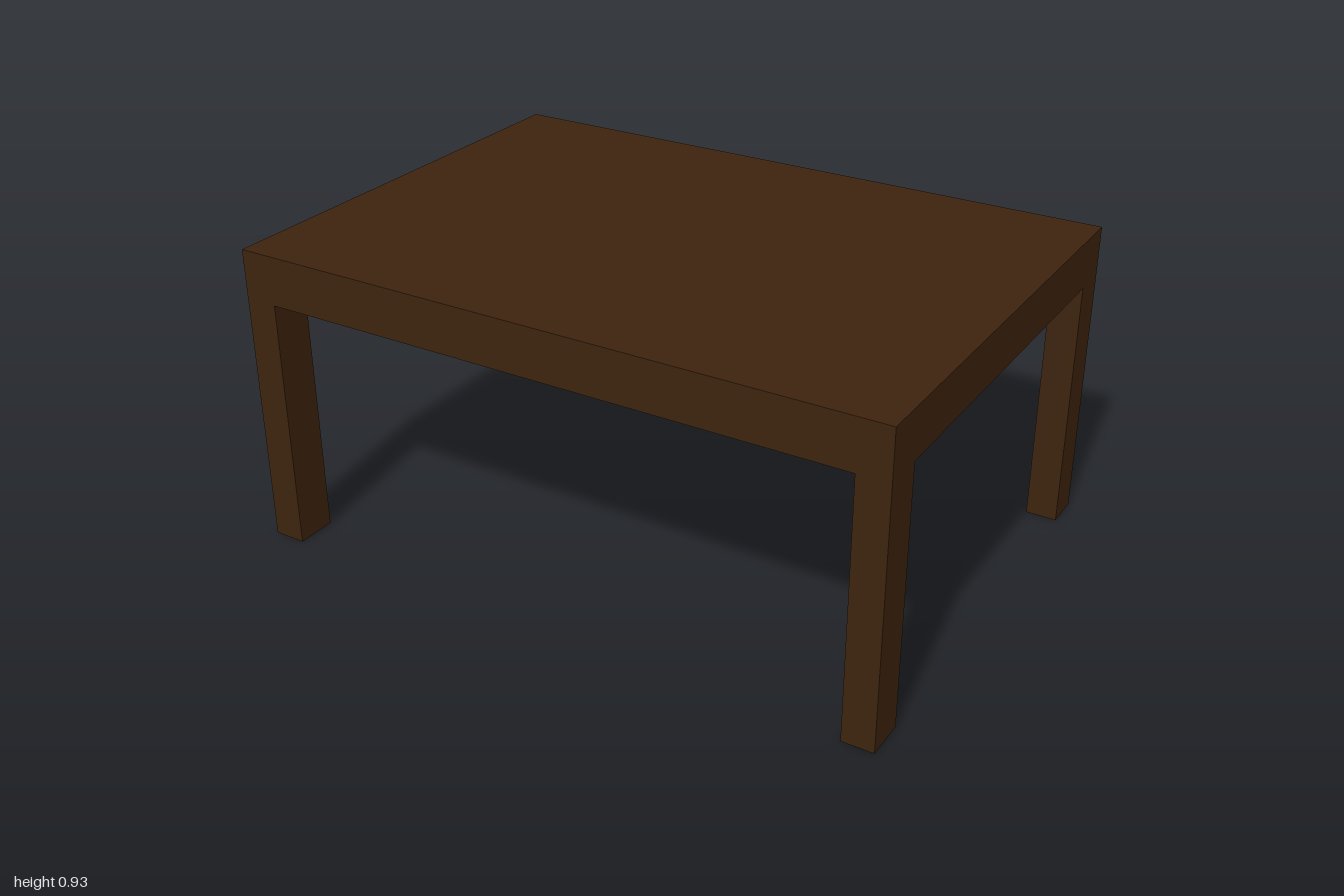
import * as THREE from 'three';

export function createModel() {
  const model = new THREE.Group();
  const wood = new THREE.MeshStandardMaterial({ color: 0x3d230e });
  wood.name = 'dark brown wood';

  const W = 1, D = 0.705;                       // half width and half depth
  const legTop = 0.78, recess = 0.83, top = 0.93;
  // inner faces of the legs and apron on each side
  const inner = { left: 0.905, right: -0.9, front: 0.58, back: -0.59 };

  // box between two opposite corners
  function block(name, x0, x1, y0, y1, z0, z1) {
    const mesh = new THREE.Mesh(new THREE.BoxGeometry(x1 - x0, y1 - y0, z1 - z0), wood);
    mesh.position.set((x0 + x1) / 2, (y0 + y1) / 2, (z0 + z1) / 2);
    mesh.name = name;
    model.add(mesh);
  }

  block('tabletop', -W, W, recess, top, -D, D);

  // apron rails framing the shallow recess under the top
  block('frontApron', -W, W, legTop, recess, inner.front, D);
  block('backApron', -W, W, legTop, recess, -D, inner.back);
  block('leftApron', inner.left, W, legTop, recess, inner.back, inner.front);
  block('rightApron', -W, inner.right, legTop, recess, inner.back, inner.front);

  // four corner legs, flush with the outer faces
  const xs = { Left: [inner.left, W], Right: [-W, inner.right] };
  const zs = { front: [inner.front, D], back: [-D, inner.back] };
  for (const [zName, z] of Object.entries(zs)) {
    for (const [xName, x] of Object.entries(xs)) {
      block(`${zName}${xName}Leg`, ...x, 0, legTop, ...z);
    }
  }
  return model;
}
